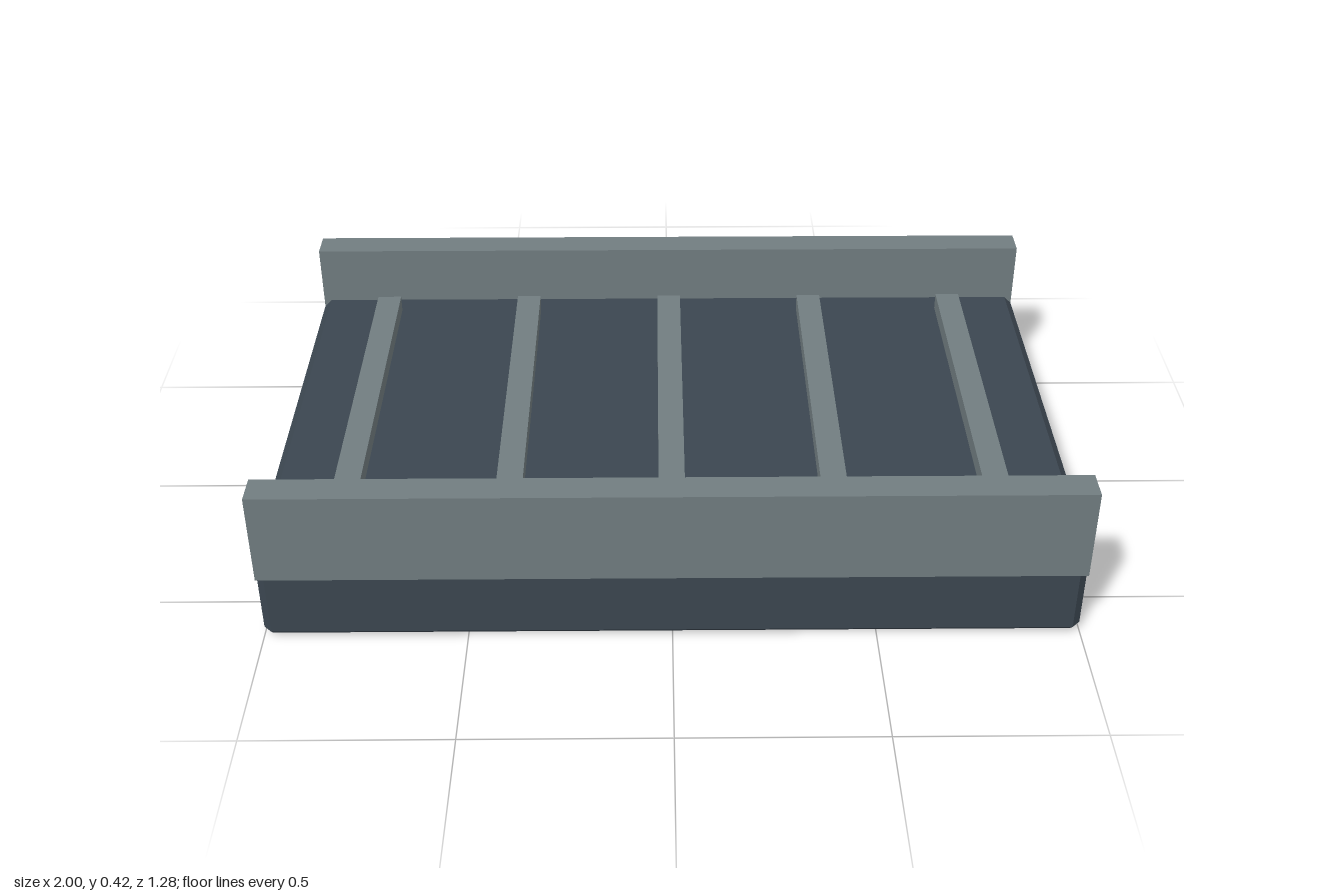
import * as THREE from 'three';
import { ConvexGeometry } from 'three/addons/geometries/ConvexGeometry.js';

// Box with every edge and corner cut by c; a, b, d are half sizes
function chamferBox(a, b, d, c) {
  const points = [];
  for (const x of [-1, 1]) for (const y of [-1, 1]) for (const z of [-1, 1]) {
    points.push(
      new THREE.Vector3(x * a, y * (b - c), z * (d - c)),
      new THREE.Vector3(x * (a - c), y * b, z * (d - c)),
      new THREE.Vector3(x * (a - c), y * (b - c), z * d));
  }
  return new ConvexGeometry(points);
}

export function createModel() {
  const group = new THREE.Group();
  const slate = new THREE.MeshStandardMaterial({ name: 'dark slate', color: 0x3b4650 });
  const grey = new THREE.MeshStandardMaterial({ name: 'steel grey', color: 0x717d80 });

  const add = (name, geometry, material, x, y, z) => {
    const mesh = new THREE.Mesh(geometry, material);
    mesh.name = name;
    mesh.position.set(x, y, z);
    group.add(mesh);
  };

  // Chamfered deck slab
  add('deck', chamferBox(1, 0.13, 0.64, 0.02), slate, 0, 0.13, 0);

  // Side rails, a hair proud of the deck faces
  const rail = new THREE.BoxGeometry(2, 0.24, 0.08);
  add('frontRail', rail, grey, 0, 0.3, 0.601);
  add('backRail', rail, grey, 0, 0.3, -0.601);

  // Cross ribs on the deck
  const rib = new THREE.BoxGeometry(0.065, 0.055, 1);
  for (let i = -2; i <= 2; i++) add('rib' + (i + 3), rib, grey, i * 0.4, 0.2775, 0);

  return group;
}
